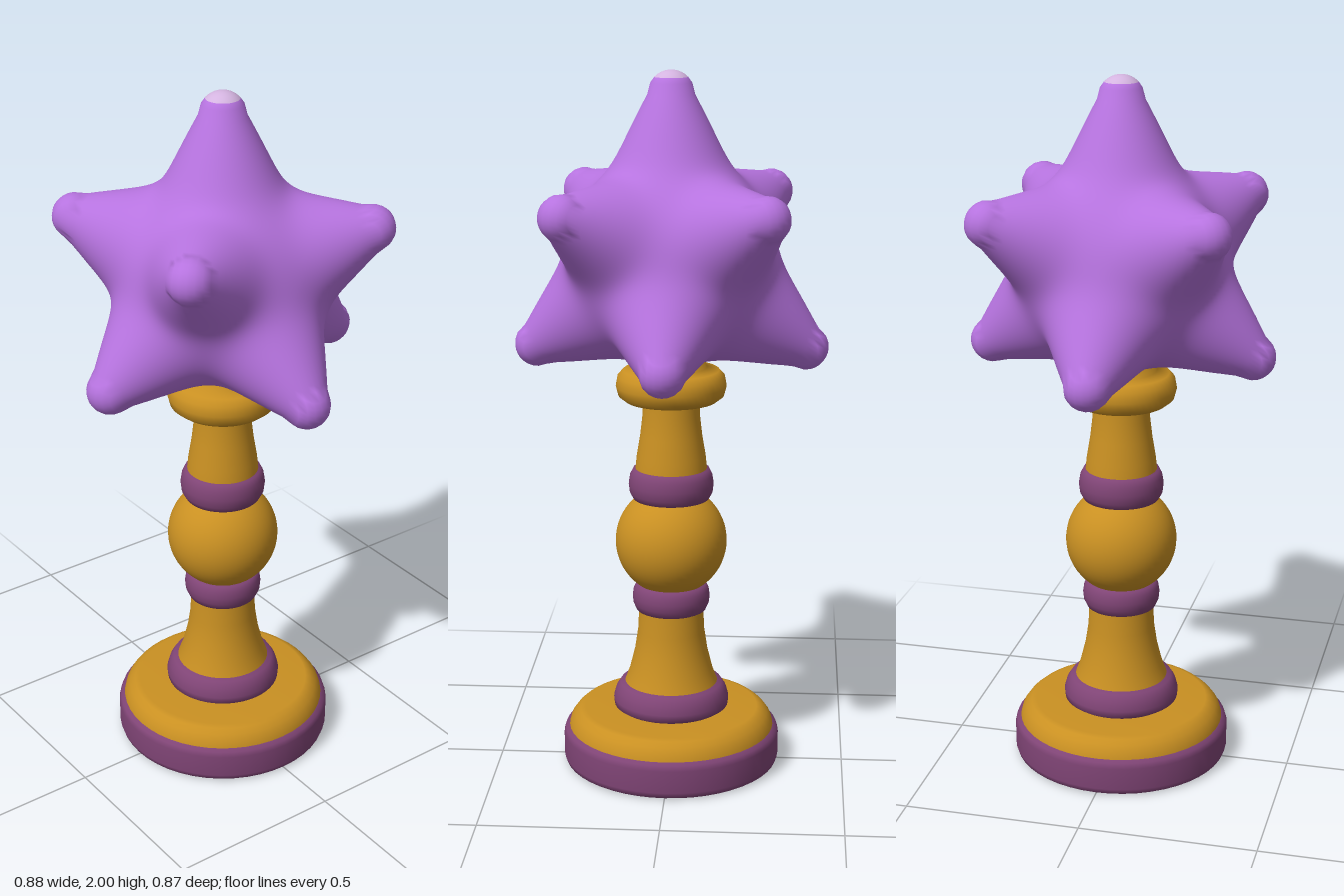
import * as THREE from 'three';

const mat = (name, color) => {
  const m = new THREE.MeshStandardMaterial({ color });
  m.name = name;
  return m;
};

// Blended star: a core sphere and rounded, tapering spikes
const CENTRE = new THREE.Vector3(0, 1.48, 0);
const spikes = [[0, 1.935, 0]];
for (const s of [-1, 1]) {
  spikes.push([s * 0.375, 1.24, 0], [0, 1.24, s * 0.372]);
  for (const t of [-1, 1]) spikes.push([s * 0.268, 1.635, t * 0.295]);
}
const axes = spikes.map((p) => new THREE.Vector3(...p).sub(CENTRE));
const ROOT = 0.25, TIP = 0.064, BLEND = 0.018;

function starDistance(p) {
  let sum = Math.exp(-(p.length() - 0.24) / BLEND);
  for (const a of axes) {
    const h = THREE.MathUtils.clamp(p.dot(a) / a.lengthSq(), 0, 1);
    const radius = ROOT + (TIP - ROOT) * Math.pow(h, 1.3);
    const d = Math.hypot(p.x - a.x * h, p.y - a.y * h, p.z - a.z * h) - radius;
    sum += Math.exp(-d / BLEND);
  }
  return -BLEND * Math.log(sum);
}

// Push a band of a sphere out to the star surface, with smooth normals
function starBand(rows, thetaStart, thetaLength) {
  const geo = new THREE.SphereGeometry(1, 144, rows, 0, Math.PI * 2, thetaStart, thetaLength);
  const pos = geo.attributes.position, nor = geo.attributes.normal;
  const dir = new THREE.Vector3(), p = new THREE.Vector3(), n = new THREE.Vector3();
  const e = 0.002;
  for (let i = 0; i < pos.count; i++) {
    dir.fromBufferAttribute(pos, i).normalize();
    let lo = 0.1, hi = 0.65;
    for (let k = 0; k < 24; k++) {
      const mid = (lo + hi) / 2;
      if (starDistance(p.copy(dir).multiplyScalar(mid)) < 0) lo = mid;
      else hi = mid;
    }
    p.copy(dir).multiplyScalar(lo);
    pos.setXYZ(i, p.x, p.y, p.z);
    const slope = ['x', 'y', 'z'].map((axis) => {
      const q = p.clone(), r = p.clone();
      q[axis] += e;
      r[axis] -= e;
      return starDistance(q) - starDistance(r);
    });
    n.set(...slope).normalize();
    nor.setXYZ(i, n.x, n.y, n.z);
  }
  return geo;
}

export function createModel() {
  const group = new THREE.Group();
  group.name = 'starFinial';
  const gold = mat('gold', 0xc99022);
  const plum = mat('plum', 0x7f4475);
  const violet = mat('violet', 0xb673df);
  const pale = mat('paleLilac', 0xd4b4e0);

  const add = (name, geo, material, y = 0) => {
    const mesh = new THREE.Mesh(geo, material);
    mesh.name = name;
    mesh.position.y = y;
    group.add(mesh);
  };
  const turned = (name, material, points) =>
    add(name, new THREE.LatheGeometry(points.map((p) => new THREE.Vector2(...p)), 48), material);

  // Stepped foot
  const underside = new THREE.CircleGeometry(0.3, 48).rotateX(Math.PI / 2);
  add('baseUnderside', underside, gold, 0.004);
  turned('baseRim', plum, [[0.298, 0.004], [0.308, 0.01], [0.313, 0.025], [0.313, 0.09], [0.308, 0.105], [0.296, 0.112]]);
  turned('baseTop', gold, [[0.297, 0.111], [0.292, 0.13], [0.28, 0.147], [0.265, 0.16], [0.25, 0.165], [0.14, 0.167]]);
  turned('footRing', plum, [[0.15, 0.165], [0.165, 0.175], [0.167, 0.195], [0.16, 0.22], [0.147, 0.24], [0.12, 0.248]]);

  // Turned stem
  turned('lowerStem', gold, [[0.135, 0.24], [0.12, 0.28], [0.105, 0.34], [0.096, 0.4], [0.092, 0.48]]);
  turned('lowerRing', plum, [[0.085, 0.458], [0.1, 0.465], [0.109, 0.485], [0.111, 0.505], [0.108, 0.525], [0.1, 0.54], [0.08, 0.545]]);
  add('ball', new THREE.SphereGeometry(0.159, 48, 32), gold, 0.67);
  turned('upperRing', plum, [[0.09, 0.792], [0.108, 0.797], [0.118, 0.815], [0.121, 0.84], [0.117, 0.865], [0.108, 0.883], [0.085, 0.89]]);
  turned('upperStem', gold, [[0.102, 0.88], [0.098, 0.92], [0.088, 0.98], [0.081, 1.04], [0.08, 1.09]]);
  turned('collar', gold, [[0.075, 1.08], [0.13, 1.083], [0.149, 1.098], [0.156, 1.125], [0.151, 1.153], [0.135, 1.17], [0.1, 1.177], [0.085, 1.25]]);

  // Star with a pale worn tip
  add('star', starBand(120, 0.092, Math.PI - 0.092), violet, CENTRE.y);
  add('starTip', starBand(5, 0, 0.092), pale, CENTRE.y);
  return group;
}
